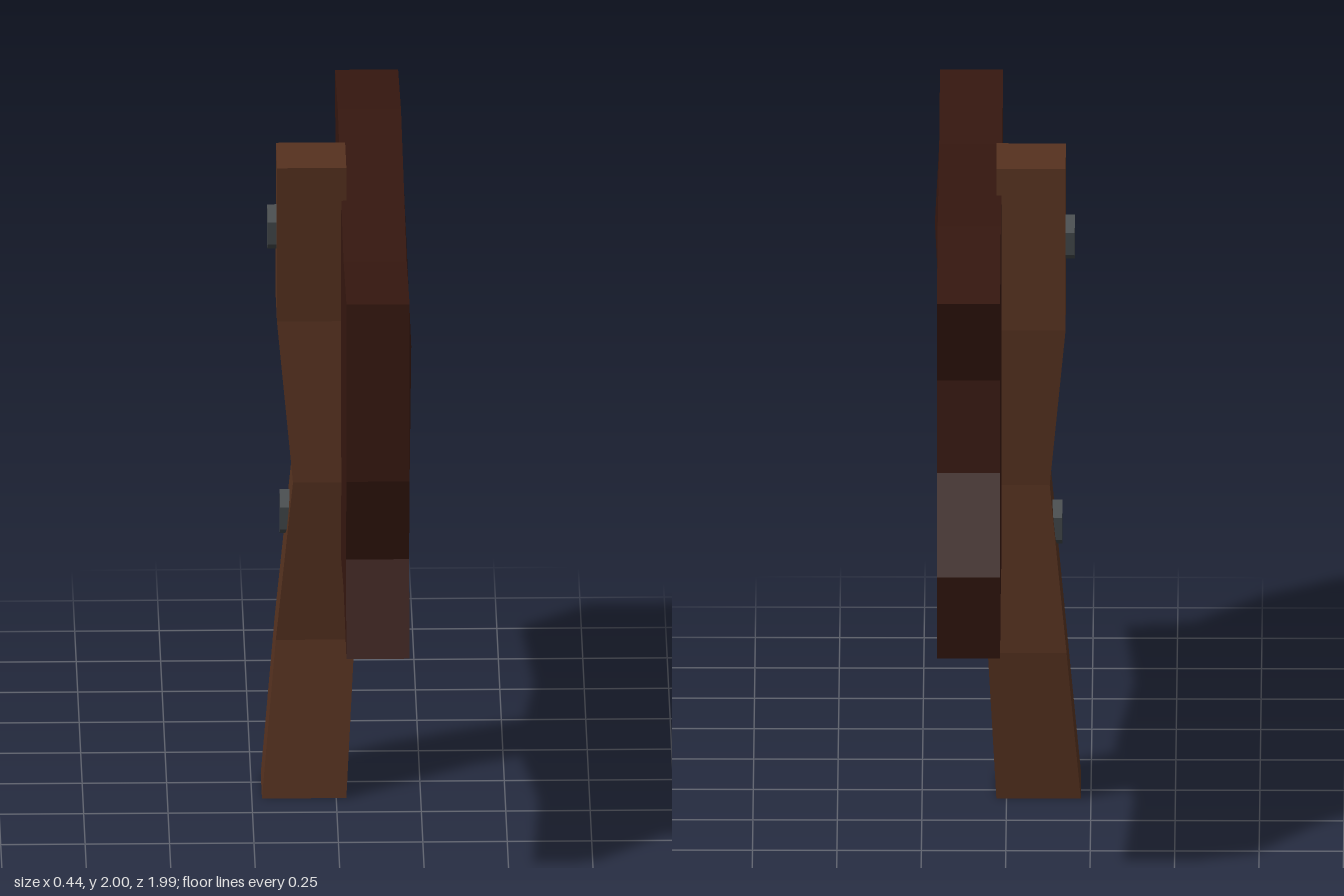
import * as THREE from 'three';

const material = (color) => new THREE.MeshStandardMaterial({ color, flatShading: true });

// Moves every vertex of a geometry by a rule returning [x, y, z]
function reshape(geometry, rule) {
  const p = geometry.attributes.position;
  for (let i = 0; i < p.count; i++) p.setXYZ(i, ...rule(p.getX(i), p.getY(i), p.getZ(i)));
  geometry.computeVertexNormals();
  return geometry;
}

function addMesh(group, name, geometry, mat) {
  const mesh = new THREE.Mesh(geometry, mat);
  mesh.name = name;
  group.add(mesh);
  return mesh;
}

// Crooked square post: cross-sections [y, xMin, xMax, zMin, zMax]
const POST = [
  [0, -0.22, 0.03, -0.07, 0.135],
  [0.48, -0.178, 0.055, -0.118, 0.075],
  [1, -0.128, 0.035, -0.085, 0.13],
  [1.5, -0.175, 0.03, -0.11, 0.1],
  [2, -0.175, 0.03, -0.075, 0.135],
];

// Ragged board edges, from bottom to top and from front to back
const FRONT_Z = [1, 0.91, 1, 1, 1];
const BACK_Z = [-0.93, -0.99, -0.86, -0.83, -0.93];
const TOP_Y = [1.9, 1.85, 1.903, 1.96, 1.9];
const BOTTOM_Y = [0.775, 0.813, 0.735, 0.818, 0.775];

export function createModel() {
  const group = new THREE.Group();
  group.name = 'signpost';
  const lerp = THREE.MathUtils.lerp;

  // Post
  const post = reshape(new THREE.BoxGeometry(1, 4, 1, 1, 4, 1), (x, y, z) => {
    const [py, x0, x1, z0, z1] = POST[Math.round(y + 2)];
    return [x < 0 ? x0 : x1, py, z < 0 ? z0 : z1];
  });
  addMesh(group, 'post', post, material(0x55311f));

  // Sign board, with a slight swelling on its outer face
  const board = reshape(new THREE.BoxGeometry(1, 4, 4, 1, 4, 4), (x, y, z) => {
    const row = Math.round(y + 2);
    const col = Math.round(2 - z);
    const outer = row === 3 && col === 1 ? 0.215 : 0.202;
    return [
      x < 0 ? 0.015 : outer,
      lerp(BOTTOM_Y[col], TOP_Y[col], row / 4),
      lerp(FRONT_Z[row], BACK_Z[row], col / 4),
    ];
  });
  addMesh(group, 'signBoard', board, material(0x35170f));

  // Hexagonal bolt heads on the rear of the post
  const boltMaterial = material(0x3e4346);
  const boltGeometry = new THREE.CylinderGeometry(0.07, 0.07, 0.06, 6);
  boltGeometry.rotateY(Math.PI / 2).rotateZ(Math.PI / 2);
  [['upperBolt', -0.172, 1.76], ['lowerBolt', -0.135, 0.856]].forEach(([name, x, y]) => {
    addMesh(group, name, boltGeometry, boltMaterial).position.set(x, y, -0.01);
  });

  return group;
}
